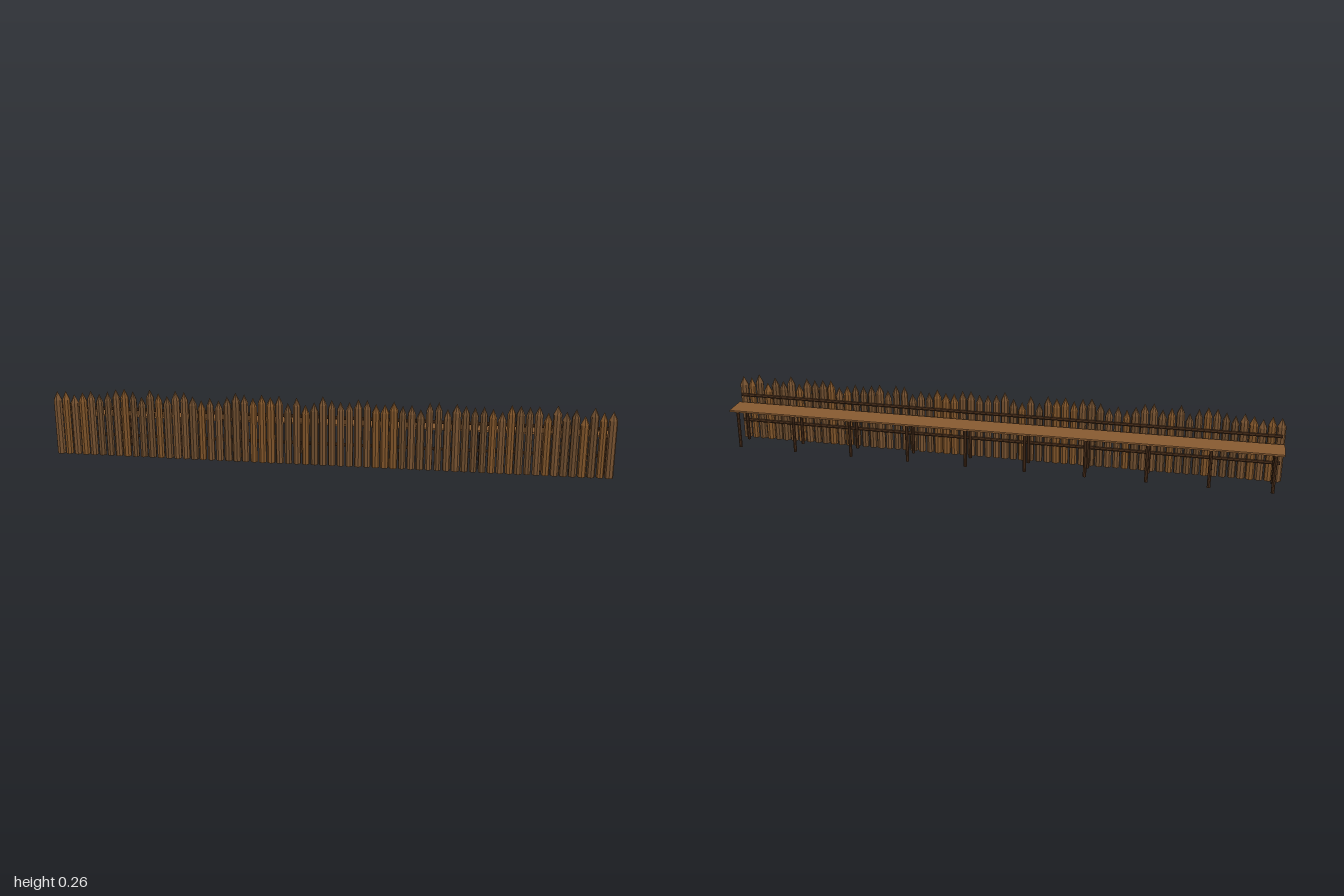
import * as THREE from 'three';

const material = (name, color) => {
  const m = new THREE.MeshStandardMaterial({ color, flatShading: true });
  m.name = name;
  return m;
};

export function createModel() {
  const group = new THREE.Group();
  group.name = 'palisadeWall';
  const stakeWood = [
    material('warm wood', 0x7d5228),
    material('mid wood', 0x74502f),
    material('dull wood', 0x6a4a2c),
  ];
  const darkWood = material('dark wood', 0x4a2f1b);
  const deckWood = material('deck wood', 0x875a31);

  // small seeded generator for the uneven stakes
  let seed = 11;
  const random = () => {
    seed = (seed * 16807) % 2147483647;
    return seed / 2147483647;
  };
  for (let i = 0; i < 5; i++) random();

  const add = (name, geometry, mat, x, y, z) => {
    const mesh = new THREE.Mesh(geometry, mat);
    mesh.name = name;
    mesh.position.set(x, y, z);
    group.add(mesh);
    return mesh;
  };

  // pointed stakes: a straight shaft closing to a tip
  const stakeCount = 64;
  for (let i = 0; i < stakeCount; i++) {
    const end = i === 0 || i === stakeCount - 1;
    const x = -0.9845 + (1.969 * i) / (stakeCount - 1);
    const r = end ? 0.0155 : 0.013 + 0.0025 * random();
    const h = 0.222 + 0.034 * random();
    const profile = [[0, 0], [r, 0], [r, h - 0.032], [0, h]];
    const geometry = new THREE.LatheGeometry(profile.map(([a, b]) => new THREE.Vector2(a, b)), 8);
    const stake = add('stake', geometry, stakeWood[Math.floor(random() * 3)], x, 0, 0.0495);
    stake.rotation.y = end ? 0 : random() * Math.PI;
  }

  // two rails tying the stakes together at the back
  for (const y of [0.073, 0.173]) {
    const rail = add('rail', new THREE.CylinderGeometry(0.0063, 0.0063, 1.98, 8), darkWood, 0, y, 0.0345);
    rail.rotation.z = Math.PI / 2;
  }

  // walkway deck on two rows of posts
  add('walkwayDeck', new THREE.BoxGeometry(2, 0.006, 0.092), deckWood, 0, 0.143, -0.018);
  for (let i = 0; i < 10; i++) {
    for (const z of [0.021, -0.057]) {
      add('post', new THREE.CylinderGeometry(0.0062, 0.0062, 0.14, 8), darkWood, -0.97 + (1.94 * i) / 9, 0.07, z);
    }
  }
  return group;
}
